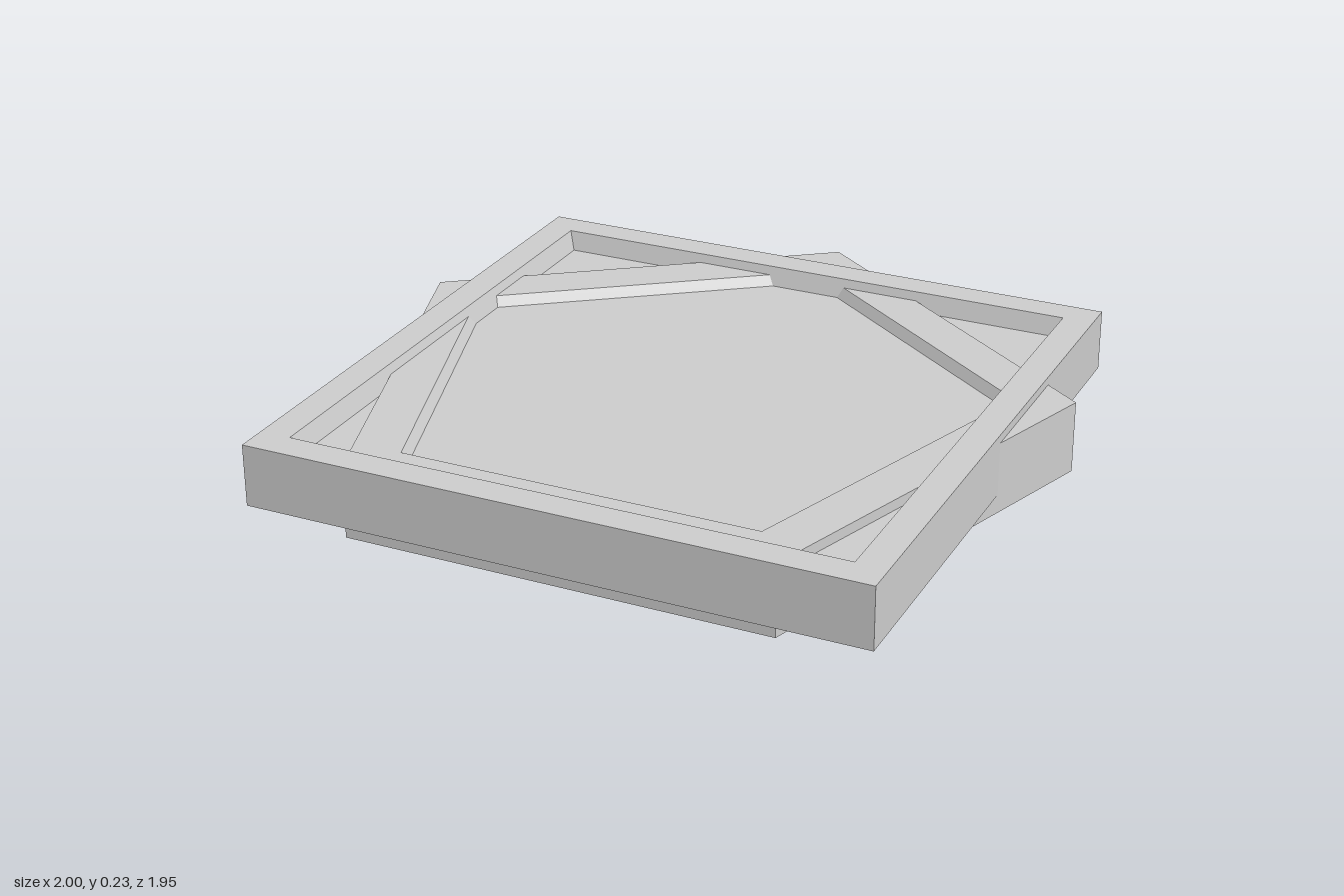
import * as THREE from 'three';

const material = new THREE.MeshStandardMaterial({ color: 0xcccccc, flatShading: true });

// Shallow polygonal tray: straight outer walls, flat rim, tapered inner walls and a floor.
// outer, rim and floor are distances from the centre to the middle of a side.
function tray(name, sides, turn, { outer, rim, floor, bottom, top, floorY }) {
  const toCorner = 1 / Math.cos(Math.PI / sides);
  const profile = [
    [0, bottom], [outer, bottom], [outer, top], [rim, top], [floor, floorY], [0, floorY],
  ].map(([a, y]) => new THREE.Vector2(a * toCorner, y));
  const geometry = new THREE.LatheGeometry(profile, sides, turn).toNonIndexed();
  geometry.computeVertexNormals();
  const mesh = new THREE.Mesh(geometry, material);
  mesh.name = name;
  mesh.position.z = 0.075;
  return mesh;
}

export function createModel() {
  const group = new THREE.Group();
  group.name = 'overlappingTrays';

  // Lower five-sided tray with one corner pointing to the back
  group.add(tray('pentagonTray', 5, Math.PI, {
    outer: 0.851, rim: 0.715, floor: 0.695, bottom: 0, top: 0.21, floorY: 0.177,
  }));

  // Raised square tray passing through it
  group.add(tray('squareTray', 4, Math.PI / 4, {
    outer: 0.895, rim: 0.805, floor: 0.785, bottom: 0.055, top: 0.235, floorY: 0.18,
  }));

  return group;
}
